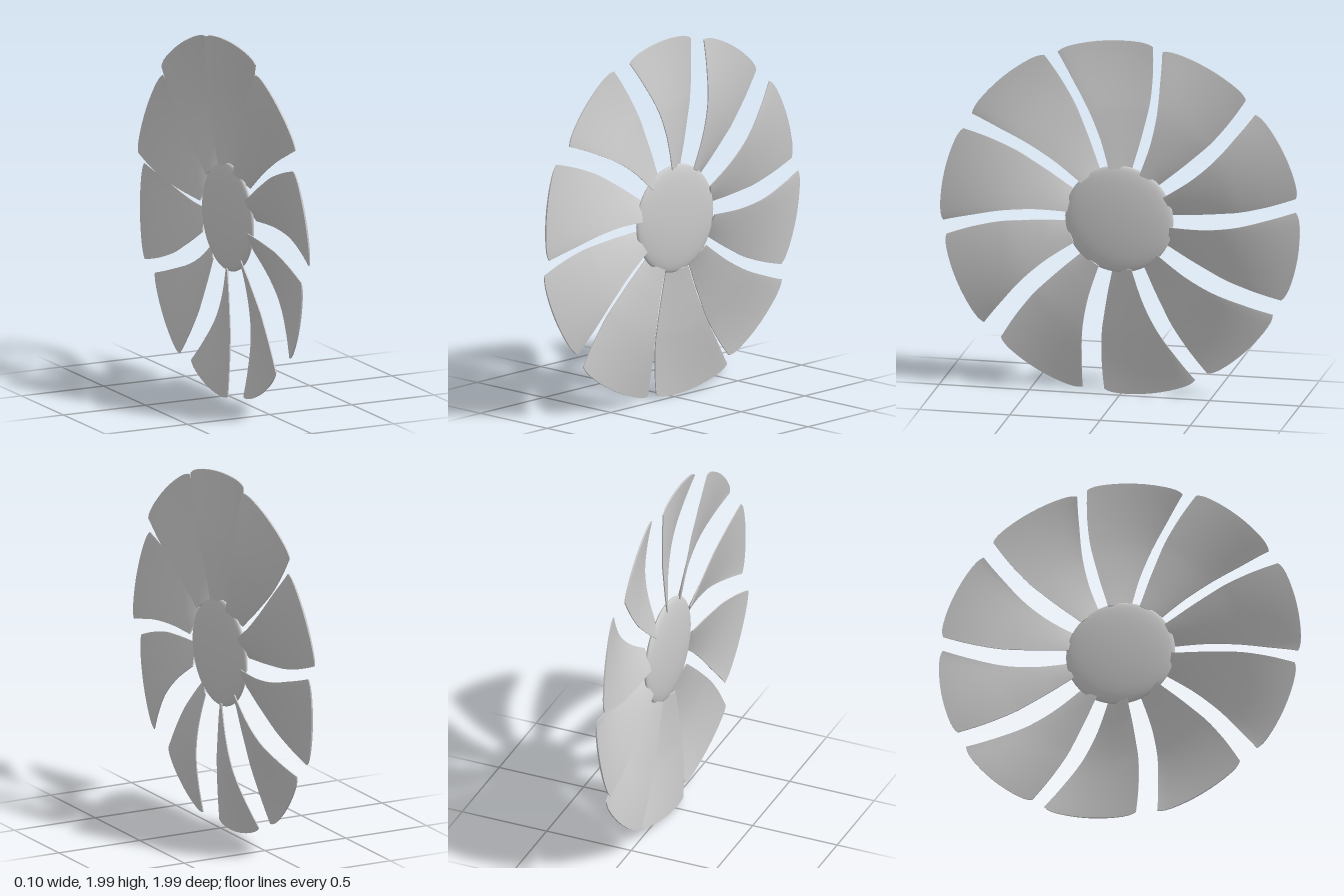
import * as THREE from 'three';
import { toCreasedNormals } from 'three/addons/utils/BufferGeometryUtils.js';

const CENTRE_Y = 1.002;
const ROWS = 20, COLS = 16;

// Edge curves of one blade as (radius, angle in degrees, x).
const edge = (angles, xs) => new THREE.CatmullRomCurve3(
  angles.map((a, i) => new THREE.Vector3(0.285 + 0.178 * i, a, xs[i])));
const leftEdge = edge([5.2, 6.8, 9.5, 12.8, 15.4], [0.033, 0.042, 0.044, 0.026, -0.006]);
const rightEdge = edge([-18.3, -19.3, -19.2, -17.6, -15.4], [-0.023, -0.029, -0.035, -0.043, -0.047]);

// A thin twisted blade, lofted from closed cross-sections between root and tip.
function bladeGeometry() {
  const positions = [], index = [];
  const ring = 2 * (COLS + 1);
  for (let i = 0; i <= ROWS; i++) {
    const u = i / ROWS;
    const l = leftEdge.getPoint(u), r = rightEdge.getPoint(u);
    for (let k = 0; k < ring; k++) {
      const front = k <= COLS;
      const t = (front ? k : ring - 1 - k) / COLS;
      const s = Math.sin((t - 0.5) * Math.PI); // finer columns near the edges
      const w = (s + 1) / 2;
      const tip = 0.997 - 0.016 * Math.abs(s) ** 10;
      const radius = 0.285 + u * (tip - 0.285);
      const angle = THREE.MathUtils.degToRad(THREE.MathUtils.lerp(r.y, l.y, w));
      const half = 0.003 + 0.005 * (1 - s * s) * (1 - 0.6 * u);
      const x = THREE.MathUtils.lerp(r.z, l.z, w) + (front ? half : -half);
      positions.push(x, radius * Math.cos(angle), radius * Math.sin(angle));
    }
  }
  for (let i = 0; i < ROWS; i++) {
    for (let k = 0; k < ring; k++) {
      const a = i * ring + k, b = i * ring + (k + 1) % ring;
      index.push(a, a + ring, b, b, a + ring, b + ring);
    }
  }
  // Root and tip caps
  const top = ROWS * ring;
  for (let k = 0; k < COLS; k++) {
    const f = k, f1 = k + 1, b = ring - 1 - k, b1 = ring - 2 - k;
    index.push(f, f1, b, f1, b1, b);
    index.push(top + f, top + b, top + f1, top + f1, top + b, top + b1);
  }
  const geometry = new THREE.BufferGeometry();
  geometry.setAttribute('position', new THREE.Float32BufferAttribute(positions, 3));
  geometry.setIndex(index);
  return toCreasedNormals(geometry, 0.7);
}

export function createModel() {
  const model = new THREE.Group();
  model.name = 'fanRotor';
  const material = new THREE.MeshStandardMaterial({ color: 0xcccccc });

  // Hub: a flattened sphere
  const hub = new THREE.Mesh(new THREE.SphereGeometry(0.3, 48, 32), material);
  hub.name = 'hub';
  hub.scale.x = 0.04 / 0.3;
  hub.position.set(0.003, CENTRE_Y, 0);
  model.add(hub);

  // Ten blades, slightly unevenly spaced about the x axis
  const blades = new THREE.Group();
  blades.name = 'blades';
  blades.position.y = CENTRE_Y;
  const geometry = bladeGeometry();
  const angles = [5.1, -29.4, -65.4, -100, -135.5, -170.1, 152.6, 114.6, 78.5, 41.1];
  angles.forEach((degrees, i) => {
    const blade = new THREE.Mesh(geometry, material);
    blade.name = `blade${i + 1}`;
    blade.rotation.x = THREE.MathUtils.degToRad(degrees);
    blades.add(blade);
  });
  model.add(blades);
  return model;
}
